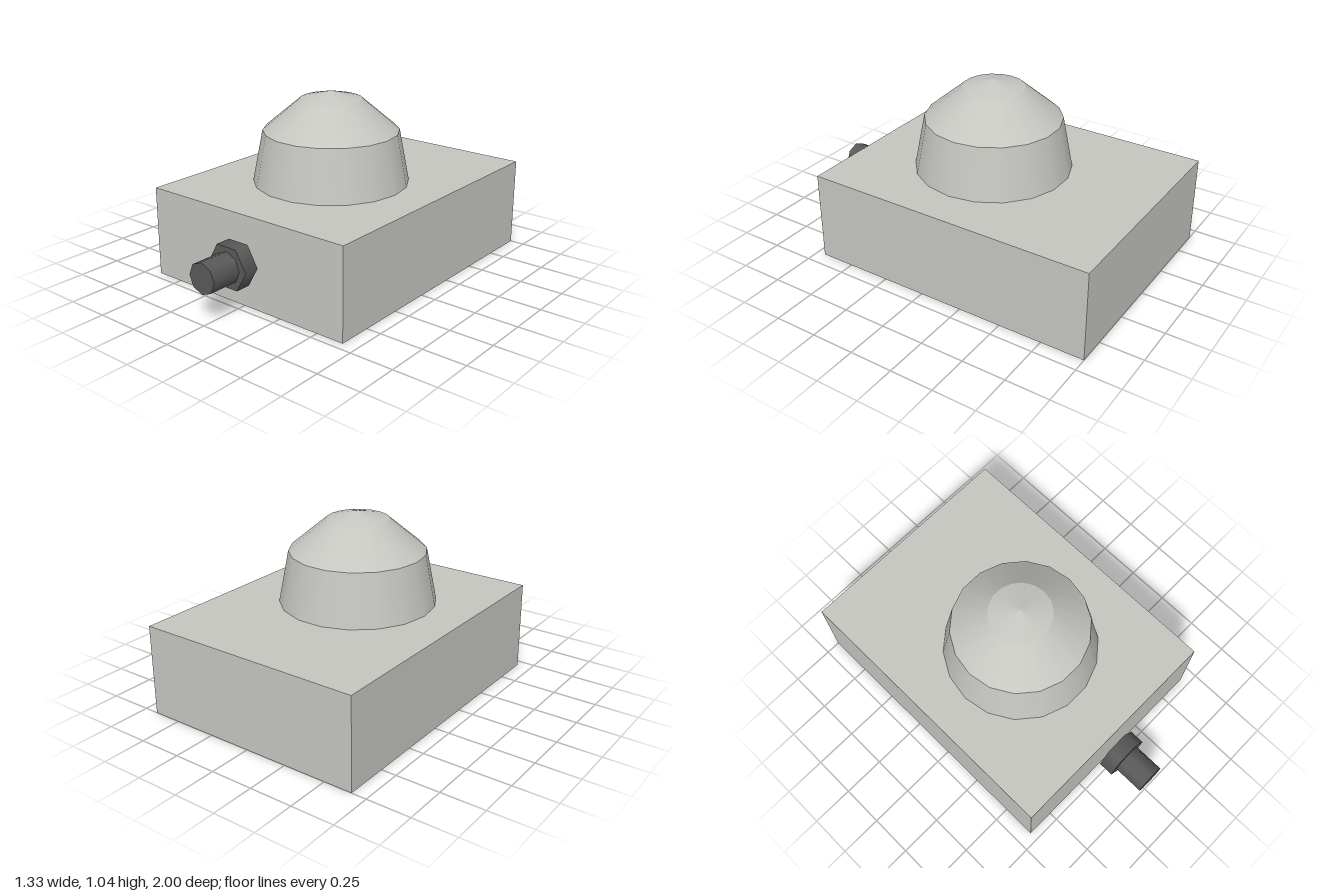
import * as THREE from 'three';

const lightGrey = new THREE.MeshStandardMaterial({ name: 'lightGrey', color: 0xc6c6c1 });
const darkGrey = new THREE.MeshStandardMaterial({ name: 'darkGrey', color: 0x5a5a5a });

export function createModel() {
  const model = new THREE.Group();
  model.name = 'domedBox';

  const add = (parent, name, geometry, material, x, y, z) => {
    const mesh = new THREE.Mesh(geometry, material);
    mesh.name = name;
    mesh.position.set(x, y, z);
    parent.add(mesh);
    return mesh;
  };

  // Housing block
  add(model, 'housing', new THREE.BoxGeometry(1.33, 0.52, 1.7), lightGrey, 0, 0.26, -0.15);

  // Dome: stacked bands, smooth around and sharp between, with corners on the x axis
  const dome = new THREE.Group();
  dome.name = 'dome';
  const rings = [[0.445, 0.52], [0.387, 0.817], [0.176, 0.996], [0, 1.04]];
  const names = ['domeWall', 'domeShoulder', 'domeCap'];
  names.forEach((name, i) => {
    const [r0, y0] = rings[i];
    const [r1, y1] = rings[i + 1];
    const band = new THREE.CylinderGeometry(r1, r0, y1 - y0, 18, 1, true, Math.PI / 2);
    add(dome, name, band, lightGrey, 0, (y0 + y1) / 2, -0.035);
  });
  model.add(dome);

  // Cable fitting: hexagonal nut and eight-sided stub, pointing forward
  const fitting = new THREE.Group();
  fitting.name = 'cableFitting';
  const prism = (name, radius, sides, z0, z1) => {
    const geometry = new THREE.CylinderGeometry(radius, radius, z1 - z0, sides, 1, false, Math.PI / 2);
    geometry.rotateX(Math.PI / 2);
    add(fitting, name, geometry, darkGrey, 0, 0.263, (z0 + z1) / 2);
  };
  prism('nut', 0.133, 6, 0.733, 0.822);
  prism('stub', 0.089, 8, 0.822, 1);
  model.add(fitting);

  return model;
}
